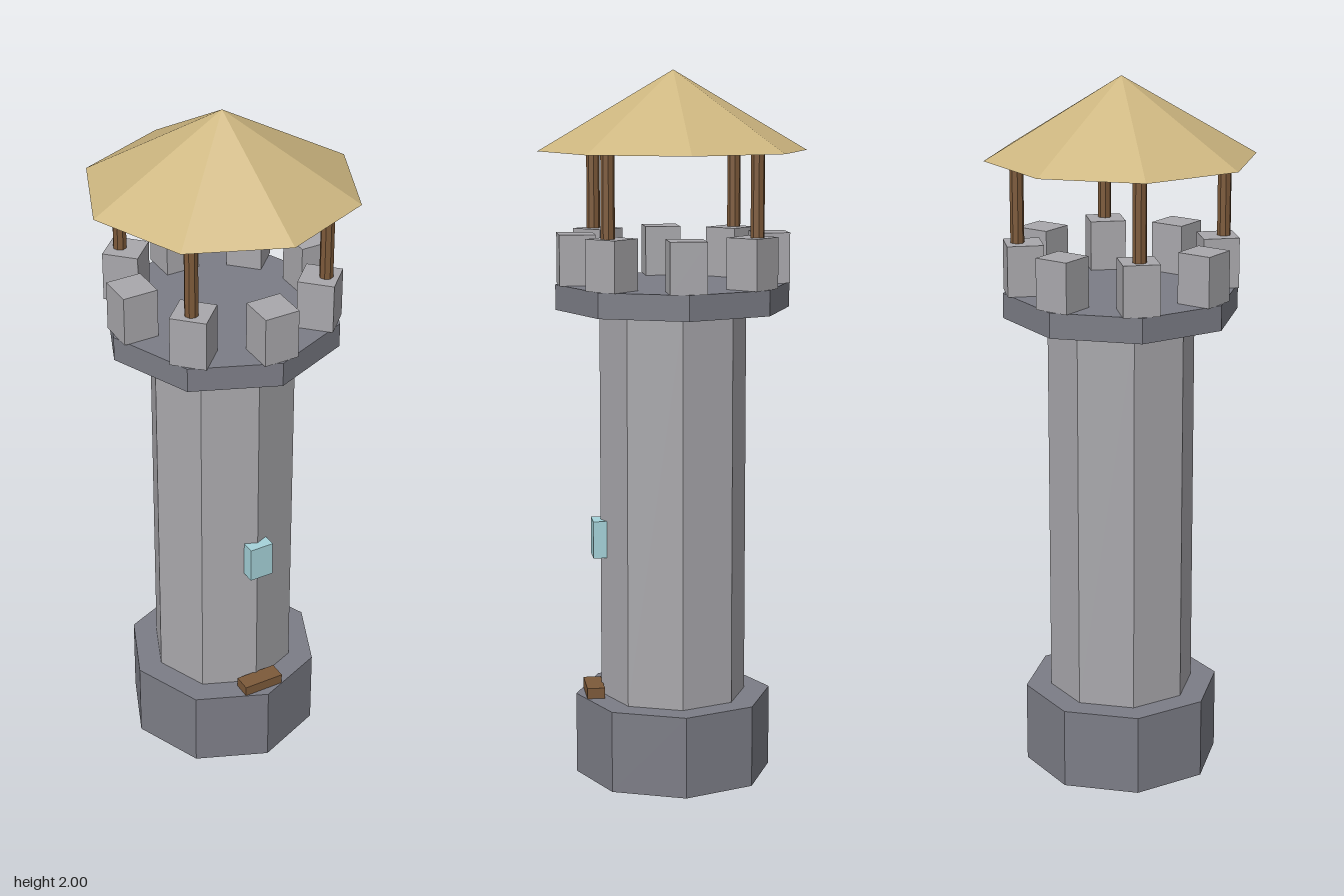
import * as THREE from 'three';

const mat = (color) => new THREE.MeshStandardMaterial({ color, flatShading: true });

export function createModel() {
  const model = new THREE.Group();
  const darkStone = mat(0x7c7d86);
  const stone = mat(0xa9a8ac);
  const wood = mat(0x7d5a3a);
  const thatch = mat(0xcdb680);
  const glass = mat(0xa6d3da);

  function add(name, geometry, material, x, y, z) {
    const mesh = new THREE.Mesh(geometry, material);
    mesh.name = name;
    mesh.position.set(x, y, z);
    model.add(mesh);
    return mesh;
  }
  // Upright prism between two heights, corners on the axes
  function prism(name, rTop, rBottom, y0, y1, material, sides = 8, x = 0, z = 0) {
    return add(name, new THREE.CylinderGeometry(rTop, rBottom, y1 - y0, sides), material, x, (y0 + y1) / 2, z);
  }

  // Octagonal tower body
  prism('foot', 0.27, 0.14, 0, 0.015, darkStone);
  prism('base', 0.278, 0.278, 0.015, 0.245, darkStone);
  prism('shaft', 0.206, 0.206, 0.245, 1.345, stone);
  prism('platform', 0.328, 0.328, 1.345, 1.415, darkStone);

  // Battlements facing outward, with a roof post on every diagonal one
  for (let i = 0; i < 8; i++) {
    const a = (i * Math.PI) / 4;
    const merlon = add('merlon', new THREE.BoxGeometry(0.1, 0.14, 0.1), stone,
      0.27 * Math.sin(a), 1.485, 0.27 * Math.cos(a));
    merlon.rotation.y = a;
    if (i % 2) {
      prism('roofPost', 0.019, 0.019, 1.415, 1.785, wood, 8, 0.286 * Math.sin(a), 0.286 * Math.cos(a));
    }
  }

  // Eight-sided roof, closed underneath
  add('roof', new THREE.ConeGeometry(0.374, 0.22, 8), thatch, 0, 1.89, 0);

  // Front door, sunk into the base, and the window above it
  add('door', new THREE.BoxGeometry(0.12, 0.255, 0.05), wood, 0, 0.1475, 0.227);
  add('window', new THREE.BoxGeometry(0.07, 0.105, 0.04), glass, 0, 0.698, 0.21);

  return model;
}
